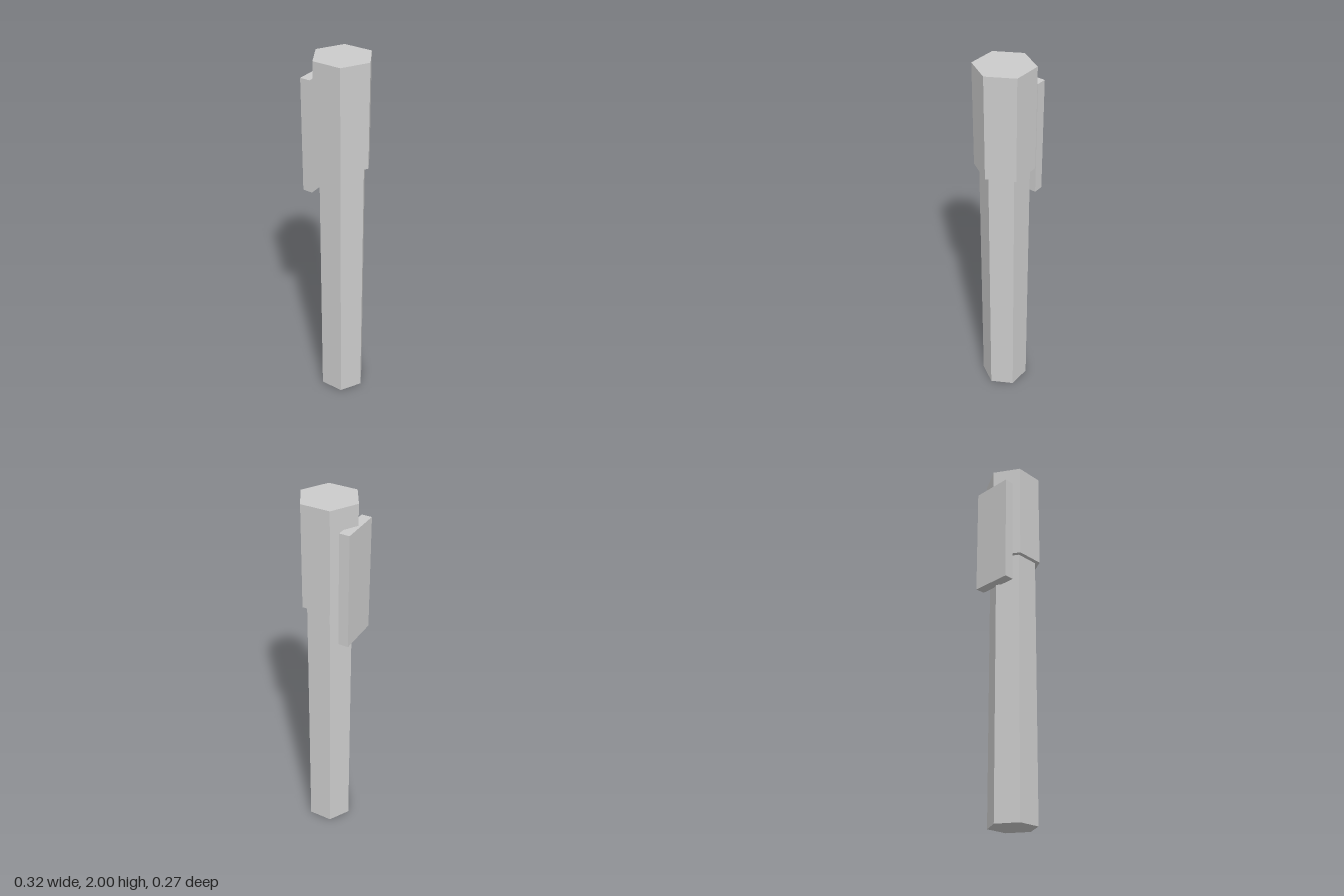
import * as THREE from 'three';

const material = new THREE.MeshStandardMaterial({ color: 0xcccccc, flatShading: true });
const AXIS_X = 0.006; // pen axis, offset so that the clip balances the width

// Upright hexagonal prism with corners on the x axis
function hexPrism(name, radius, bottom, top) {
  const geometry = new THREE.CylinderGeometry(radius, radius, top - bottom, 6, 1, false, Math.PI / 6);
  const mesh = new THREE.Mesh(geometry, material);
  mesh.name = name;
  mesh.position.set(AXIS_X, (bottom + top) / 2, 0);
  return mesh;
}

export function createModel() {
  const group = new THREE.Group();
  group.name = 'pen';

  // Long barrel, running up to the cap
  group.add(hexPrism('barrel', 0.128, 0, 1.45));

  // Wider cap over the upper end
  group.add(hexPrism('cap', 0.154, 1.45, 2));

  // Flat clip on the right side, hanging below the cap
  const clip = new THREE.Mesh(new THREE.BoxGeometry(0.054, 0.61, 0.222), material);
  clip.name = 'clip';
  clip.position.set(-0.134, 1.585, 0);
  group.add(clip);

  return group;
}
